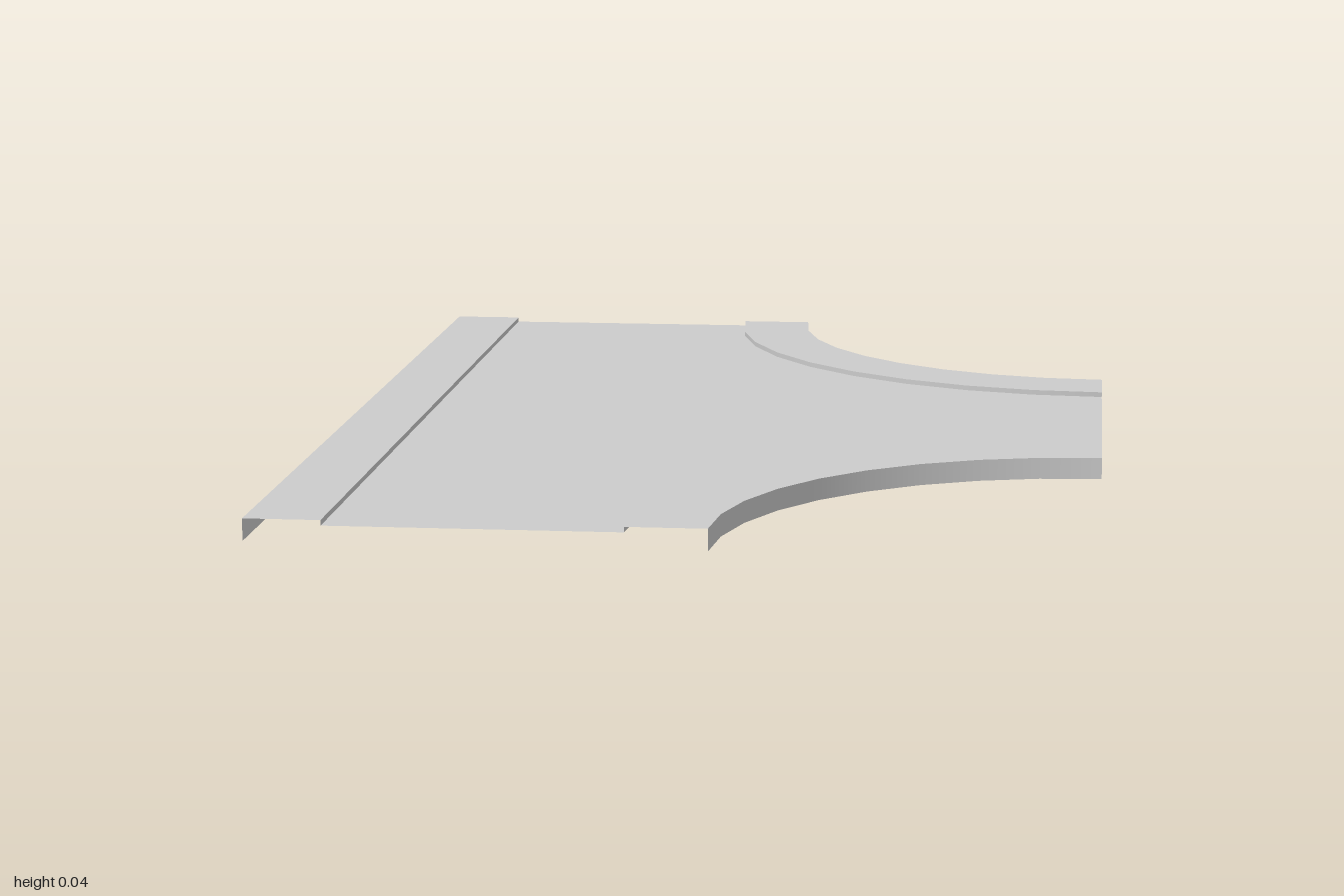
import * as THREE from 'three';

const HALF_X = 0.686, HALF_Z = 1;      // tile half extents
const TOP = 0.037, ROAD = 0.028;       // pavement and road heights
const KERB_X = -0.558;                 // kerb line of the straight pavement
const R_OUT = 0.621, R_KERB = 0.755;   // corner radii: outer wall and kerb
const STEPS = 9;                       // segments per quarter turn

export function createModel() {
  const group = new THREE.Group();
  const material = new THREE.MeshStandardMaterial({ color: 0xcccccc, side: THREE.DoubleSide });
  const add = (name, geometry, x, y, z) => {
    const mesh = new THREE.Mesh(geometry, material);
    mesh.name = name;
    mesh.position.set(x, y, z);
    group.add(mesh);
  };

  // Road surface: flat outline with the two rounded corners cut away
  const outline = [new THREE.Vector2(KERB_X, HALF_Z), new THREE.Vector2(KERB_X, -HALF_Z)];
  for (const side of [-1, 1]) {
    for (let i = 0; i <= STEPS; i++) {
      const a = (side < 0 ? i : STEPS - i) / STEPS * Math.PI / 2;
      outline.push(new THREE.Vector2(
        HALF_X - R_KERB * Math.cos(a), side * (HALF_Z - R_KERB * Math.sin(a))));
    }
  }
  add('road', new THREE.ShapeGeometry(new THREE.Shape(outline)).rotateX(-Math.PI / 2), 0, ROAD, 0);

  // Straight pavement with its kerb and outer wall
  const width = KERB_X + HALF_X;
  add('straightPavement', new THREE.PlaneGeometry(width, 2 * HALF_Z).rotateX(-Math.PI / 2),
    KERB_X - width / 2, TOP, 0);
  add('straightKerb', new THREE.PlaneGeometry(2 * HALF_Z, TOP - ROAD).rotateY(Math.PI / 2),
    KERB_X, (TOP + ROAD) / 2, 0);
  add('straightWall', new THREE.PlaneGeometry(2 * HALF_Z, TOP).rotateY(-Math.PI / 2),
    -HALF_X, TOP / 2, 0);

  // Curved corner pavements, front and back
  const quarter = Math.PI / 2;
  const arcWall = (r, h, start) =>
    new THREE.CylinderGeometry(r, r, h, STEPS, 1, true, start, quarter);
  for (const [label, side] of [['front', 1], ['back', -1]]) {
    const z = side * HALF_Z;
    const ringStart = side > 0 ? quarter : Math.PI;
    const wallStart = side > 0 ? Math.PI : 3 * quarter;
    add(label + 'CornerPavement',
      new THREE.RingGeometry(R_OUT, R_KERB, STEPS, 1, ringStart, quarter).rotateX(-quarter),
      HALF_X, TOP, z);
    add(label + 'CornerKerb', arcWall(R_KERB, TOP - ROAD, wallStart), HALF_X, (TOP + ROAD) / 2, z);
    add(label + 'CornerWall', arcWall(R_OUT, TOP, wallStart), HALF_X, TOP / 2, z);
  }
  return group;
}
